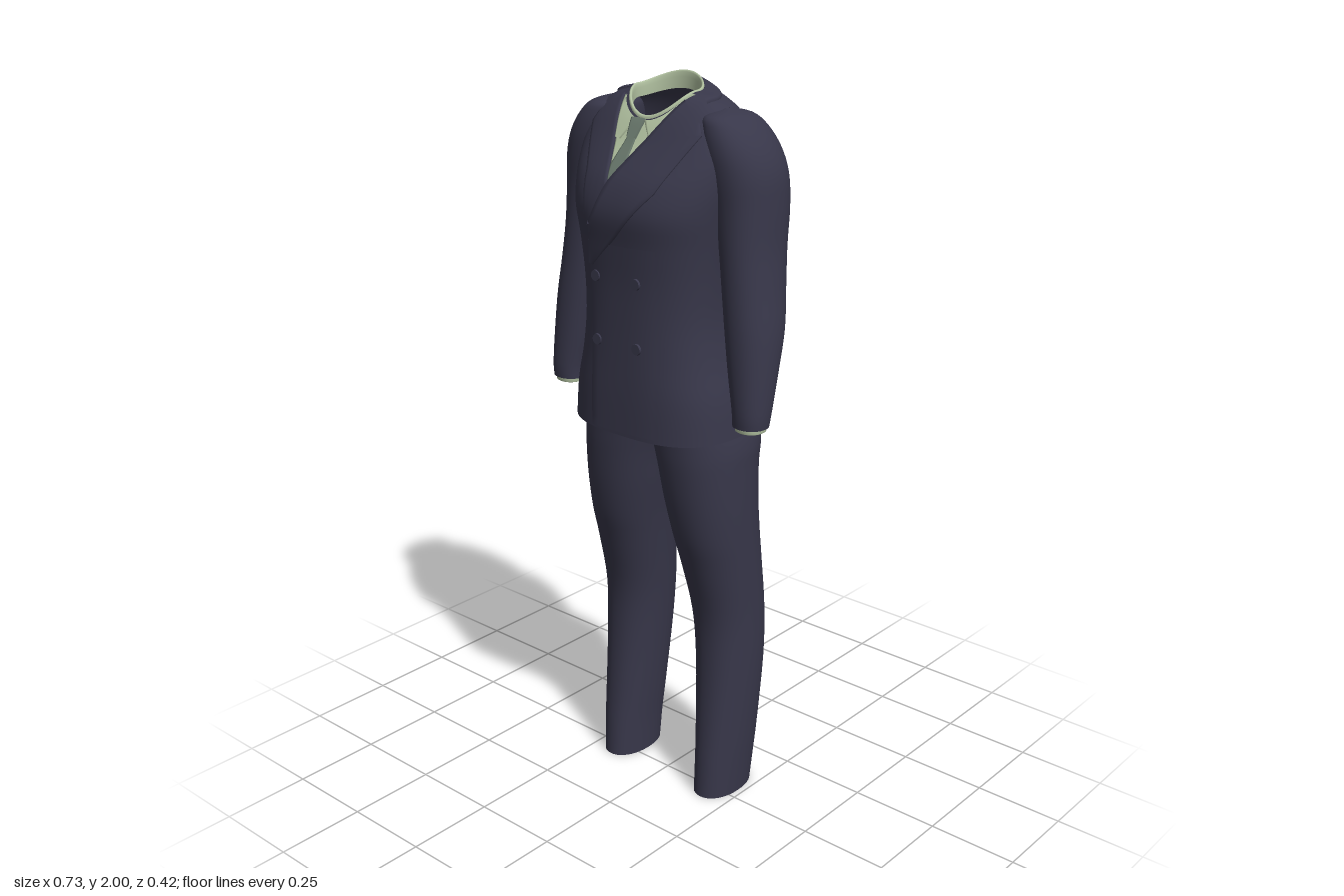
import * as THREE from 'three';

const paint = (name, color) => {
  const m = new THREE.MeshStandardMaterial({ color, side: THREE.DoubleSide });
  m.name = name;
  return m;
};

// Catmull-Rom blend of whole cross-section rows
function smoothRows(rows, steps) {
  const out = [];
  const at = i => rows[Math.min(Math.max(i, 0), rows.length - 1)];
  for (let i = 0; i < rows.length - 1; i++) {
    for (let s = 0; s < steps; s++) {
      const t = s / steps;
      out.push(at(i).map((b, k) => {
        const a = at(i - 1)[k], c = at(i + 1)[k], d = at(i + 2)[k];
        return b + 0.5 * t * (c - a + t * (2 * a - 5 * b + 4 * c - d + t * (3 * (b - c) + d - a)));
      }));
    }
  }
  out.push(at(rows.length - 1));
  return out;
}

// Row: [centre x, half width, front z, back z, front y, side y, back y, roundness]
function ringPoint([cx, hw, zf, zb, yf, ys, yb, p], a) {
  const pow = v => Math.sign(v) * Math.pow(Math.abs(v), p);
  const c = pow(Math.cos(a)), s = pow(Math.sin(a));
  return [cx + hw * c, ys + ((s > 0 ? yf : yb) - ys) * s * s, (zf + zb) / 2 + (zf - zb) / 2 * s];
}

function gridGeometry(points, cols, wrap) {
  const rows = points.length / cols, index = [];
  for (let r = 0; r < rows - 1; r++) {
    for (let c = 0; c < (wrap ? cols : cols - 1); c++) {
      const d = (c + 1) % cols, a = r * cols + c, b = r * cols + d;
      index.push(a, a + cols, b, b, a + cols, b + cols);
    }
  }
  const g = new THREE.BufferGeometry();
  g.setAttribute('position', new THREE.Float32BufferAttribute(points.flat(), 3));
  g.setIndex(index);
  g.computeVertexNormals();
  return g;
}

// Skin through rows from bottom to top; cap closes the bottom with a crisp edge
function loft(rows, { cap = false, steps = 4, seg = 48, from = 0, to = Math.PI * 2 } = {}) {
  const all = smoothRows(rows, steps);
  if (cap) {
    const f = all[0], mid = (f[2] + f[3]) / 2;
    all.unshift([f[0], 0, mid, mid, f[5], f[5], f[5], 1], f);
  }
  const wrap = to - from > 6.28, cols = wrap ? seg : seg + 1, points = [];
  for (const row of all) {
    for (let c = 0; c < cols; c++) points.push(ringPoint(row, from + (to - from) * c / seg));
  }
  return gridGeometry(points, cols, wrap);
}

// Limb row from [y, inner x, outer x, front z, back z]
const limb = (rows, side) => rows.map(([y, xi, xo, zf, zb]) =>
  [side * (xi + xo) / 2, (xo - xi) / 2, zf, zb, y, y, y, 0.92]);

export function createModel() {
  const model = new THREE.Group();
  const suit = paint('navy cloth', 0x38374a);
  const shirt = paint('pale green shirt', 0xb3c3a2);
  const tieCloth = paint('grey green tie', 0x6b7a6e);
  const add = (name, geometry, material) => {
    const mesh = new THREE.Mesh(geometry, material);
    mesh.name = name;
    model.add(mesh);
    return mesh;
  };

  // Jacket body, hem to neckline
  const body = add('jacketBody', loft([
    [0, 0.252, 0.188, -0.203, 1.093, 1.1, 1.122, 0.72],
    [0, 0.24, 0.188, -0.182, 1.2, 1.2, 1.2, 0.74],
    [0, 0.216, 0.186, -0.155, 1.3, 1.3, 1.3, 0.78],
    [0, 0.202, 0.185, -0.136, 1.4, 1.4, 1.4, 0.8],
    [0, 0.204, 0.187, -0.134, 1.5, 1.5, 1.5, 0.8],
    [0, 0.214, 0.196, -0.144, 1.6, 1.6, 1.6, 0.8],
    [0, 0.225, 0.205, -0.154, 1.68, 1.68, 1.68, 0.8],
    [0, 0.237, 0.186, -0.158, 1.75, 1.76, 1.77, 0.82],
    [0, 0.237, 0.155, -0.15, 1.8, 1.84, 1.85, 0.86],
    [0, 0.21, 0.127, -0.132, 1.84, 1.912, 1.915, 0.92],
    [0, 0.165, 0.112, -0.112, 1.865, 1.943, 1.955, 0.96],
    [0, 0.125, 0.1, -0.092, 1.885, 1.954, 1.977, 1],
    [0, 0.101, 0.089, -0.077, 1.9, 1.96, 1.99, 1],
  ], { cap: true, seg: 64 }), suit);
  body.updateMatrixWorld();

  // Jacket collar round the back of the neck
  add('jacketCollar', loft([
    [0, 0.152, 0.11, -0.104, 1.874, 1.945, 1.963, 1],
    [0, 0.148, 0.112, -0.105, 1.884, 1.957, 1.972, 1],
    [0, 0.125, 0.104, -0.096, 1.893, 1.963, 1.985, 1],
    [0, 0.102, 0.09, -0.079, 1.905, 1.967, 1.995, 1],
  ], { from: Math.PI * 0.93, to: Math.PI * 2.07 }), suit);

  // Shirt collar band, folded over to its inside
  add('shirtCollarBand', loft([
    [0, 0.1, 0.09, -0.077, 1.893, 1.952, 1.982, 1],
    [0, 0.101, 0.088, -0.076, 1.906, 1.968, 2.0, 1],
    [0, 0.094, 0.081, -0.07, 1.905, 1.967, 1.998, 1],
    [0, 0.094, 0.078, -0.069, 1.87, 1.935, 1.957, 1],
  ], { steps: 3 }), shirt);

  // Cloth patch between two edges, laid on the jacket body
  const ray = new THREE.Raycaster();
  const onBody = (x, y, dir, offset) => {
    ray.set(new THREE.Vector3(x, y, dir), new THREE.Vector3(0, 0, -dir));
    const hit = ray.intersectObject(body)[0];
    if (!hit) return new THREE.Vector3(x, y, 0.1 * dir);
    const n = hit.face.normal.clone();
    if (n.z * dir < 0) n.negate();
    return hit.point.addScaledVector(n, offset);
  };
  const along = (edge, t) => {
    const f = t * (edge.length - 1), i = Math.min(Math.floor(f), edge.length - 2), k = f - i;
    return [0, 1].map(c => edge[i][c] * (1 - k) + edge[i + 1][c] * k);
  };
  function patch(name, material, edgeA, edgeB, { a = 0.005, b = a, sag = 0, dir = 1, nu = 10, nv = 12 } = {}) {
    const points = [];
    for (let r = 0; r <= nv; r++) {
      const v = r / nv, A = along(edgeA, v), B = along(edgeB, v);
      for (let c = -1; c <= nu + 1; c++) {
        const u = Math.min(Math.max(c / nu, 0), 1);
        const y = A[1] + (B[1] - A[1]) * u - sag * (1 - v) * (1 - (2 * u - 1) ** 2);
        const lift = c < 0 || c > nu ? 0 : a + (b - a) * u;
        points.push(onBody(A[0] + (B[0] - A[0]) * u, y, dir, lift).toArray());
      }
    }
    return add(name, gridGeometry(points, nu + 3, false), material);
  }

  // Shirt front, collar points and tie
  patch('shirtFront', shirt, [[-0.096, 1.945], [-0.035, 1.755]], [[0.096, 1.945], [-0.03, 1.755]],
    { a: 0.003, sag: 0.05, nu: 16, nv: 14 });
  for (const s of [-1, 1]) {
    patch(s < 0 ? 'rightCollarPoint' : 'leftCollarPoint', shirt,
      [[s * 0.093, 1.942], [s * 0.066, 1.85]], [[s * 0.014 - 0.006, 1.896], [s * 0.05, 1.848]],
      { a: 0.007, sag: 0.014 });
  }
  patch('tieBlade', tieCloth, [[-0.023, 1.865], [-0.044, 1.79], [-0.034, 1.757]],
    [[0.0, 1.865], [0.0, 1.8], [-0.03, 1.757]], { a: 0.007 });
  patch('tieKnot', tieCloth, [[-0.032, 1.897], [-0.024, 1.853]], [[0.01, 1.897], [0.001, 1.853]], { a: 0.012 });

  // Lapels and double-breasted overlap
  patch('rightLapel', suit, [[-0.165, 1.9], [-0.178, 1.875], [-0.125, 1.77], [-0.098, 1.64]],
    [[-0.098, 1.944], [-0.08, 1.89], [-0.05, 1.8], [-0.03, 1.74]], { a: 0.006, b: 0.009, nv: 18 });
  patch('leftLapel', suit, [[0.098, 1.944], [0.035, 1.85], [-0.03, 1.755], [-0.085, 1.64], [-0.1, 1.54]],
    [[0.165, 1.9], [0.178, 1.875], [0.11, 1.74], [0.0, 1.62], [-0.09, 1.535]], { a: 0.011, b: 0.006, nv: 24 });
  patch('frontOverlap', suit, [[-0.1, 1.6], [-0.1, 1.102]], [[0.13, 1.6], [0.13, 1.105]],
    { a: 0.006, b: 0, nv: 20 });
  patch('backVentFlap', suit, [[0, 1.29], [0, 1.128]], [[0.13, 1.29], [0.13, 1.128]],
    { a: 0.006, b: 0, dir: -1 });

  // Front buttons
  for (const x of [-0.077, 0.058]) {
    for (const y of [1.34, 1.51]) {
      const button = add('frontButton', new THREE.CylinderGeometry(0.014, 0.015, 0.006, 20), suit);
      button.rotation.x = Math.PI / 2;
      button.position.copy(onBody(x, y, 1, 0.008));
    }
  }

  for (const side of [-1, 1]) {
    const label = side < 0 ? 'right' : 'left';

    // Sleeve with rounded shoulder
    add(label + 'Sleeve', loft(limb([
      [1.158, 0.271, 0.363, 0.09, 0.0],
      [1.2, 0.267, 0.366, 0.092, -0.01],
      [1.3, 0.243, 0.366, 0.089, -0.042],
      [1.4, 0.222, 0.362, 0.085, -0.075],
      [1.5, 0.205, 0.349, 0.08, -0.096],
      [1.6, 0.19, 0.338, 0.077, -0.114],
      [1.7, 0.17, 0.335, 0.077, -0.13],
      [1.78, 0.15, 0.329, 0.083, -0.133],
      [1.84, 0.14, 0.308, 0.085, -0.125],
      [1.89, 0.135, 0.273, 0.078, -0.108],
      [1.92, 0.14, 0.236, 0.06, -0.08],
      [1.934, 0.18, 0.19, 0.0, -0.02],
    ], side), { cap: true, seg: 36 }), suit);

    // Shirt cuff, turned in at the wrist
    add(label + 'Cuff', loft(limb([
      [1.156, 0.284, 0.35, 0.078, 0.012],
      [1.147, 0.284, 0.35, 0.078, 0.012],
      [1.147, 0.278, 0.356, 0.084, 0.006],
      [1.17, 0.278, 0.356, 0.084, 0.006],
    ], side), { steps: 2, seg: 32 }), shirt);

    // Trouser leg
    add(label + 'TrouserLeg', loft(limb([
      [0.003, 0.112, 0.234, 0.06, -0.136],
      [0.1, 0.108, 0.24, 0.054, -0.146],
      [0.2, 0.1, 0.246, 0.045, -0.156],
      [0.4, 0.084, 0.254, 0.031, -0.173],
      [0.55, 0.07, 0.255, 0.034, -0.174],
      [0.7, 0.053, 0.256, 0.068, -0.161],
      [0.8, 0.04, 0.257, 0.096, -0.152],
      [0.9, 0.022, 0.258, 0.114, -0.147],
      [1.0, 0.003, 0.258, 0.124, -0.152],
      [1.06, -0.015, 0.257, 0.127, -0.165],
      [1.12, -0.03, 0.245, 0.128, -0.168],
      [1.17, -0.03, 0.215, 0.12, -0.145],
    ], side), { cap: true, seg: 40 }), suit);
  }
  return model;
}
